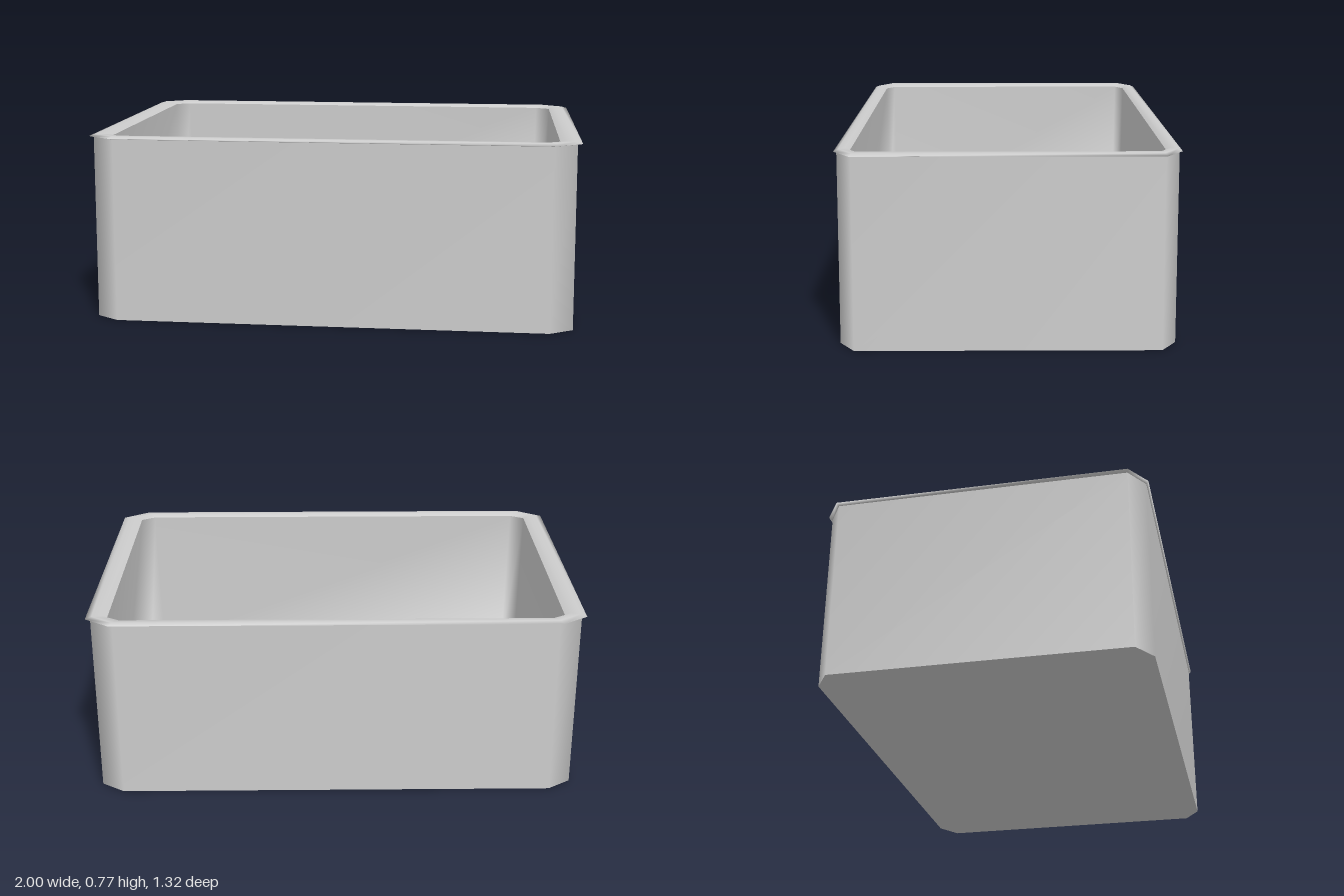
import * as THREE from 'three';

// Eight corners of a rectangle with cut corners: half sizes x, z and cuts cx, cz.
function octagon([x, y, z, cx, cz]) {
  return [
    [x, z - cz], [x - cx, z], [cx - x, z], [-x, z - cz],
    [-x, cz - z], [cx - x, -z], [x - cx, -z], [x, cz - z],
  ].map(([px, pz]) => new THREE.Vector3(px, y, pz));
}

function build(points, index) {
  const g = new THREE.BufferGeometry().setFromPoints(points);
  g.setIndex(index);
  g.computeVertexNormals();
  return g;
}

// Joins successive octagons with smooth-shaded bands.
function bands(rings) {
  const points = rings.flatMap(octagon), index = [];
  for (let i = 0; i < rings.length - 1; i++) {
    for (let j = 0; j < 8; j++) {
      const a = i * 8 + j, b = i * 8 + (j + 1) % 8;
      index.push(a, a + 8, b, b, a + 8, b + 8);
    }
  }
  return { points, index };
}

export function createModel() {
  const model = new THREE.Group();
  const grey = new THREE.MeshStandardMaterial({ color: 0xcccccc, side: THREE.DoubleSide });
  grey.name = 'light grey';
  const add = (name, geometry) => {
    const mesh = new THREE.Mesh(geometry, grey);
    mesh.name = name;
    model.add(mesh);
    return mesh;
  };
  const addBands = (name, rings) => {
    const { points, index } = bands(rings);
    return add(name, build(points, index));
  };

  // Underside, slightly tapered outer walls and overhanging rim
  const foot = [0.985, 0, 0.654, 0.095, 0.062];
  const wallTop = [0.98, 0.757, 0.65, 0.095, 0.062];
  const lip = [0.915, 0.758, 0.602, 0.06, 0.035];
  addBands('base', [[0, 0, 0, 0, 0], foot]);
  addBands('outerWalls', [foot, wallTop]);
  addBands('rim', [
    wallTop,
    [1, 0.761, 0.66, 0.1, 0.068],
    [0.975, 0.769, 0.643, 0.09, 0.06],
    [0.94, 0.769, 0.62, 0.075, 0.047],
    lip,
  ]);

  // Inner walls running smoothly into a floor that falls to the drain
  const { points, index } = bands([lip, [0.908, 0.09, 0.597, 0.06, 0.035]]);
  const drainX = 0.65, drainR = 0.052, drainY = 0.07, sides = 24;
  for (let i = 0; i < sides; i++) {
    const t = i / sides * Math.PI * 2;
    points.push(new THREE.Vector3(drainX + drainR * Math.cos(t), drainY, drainR * Math.sin(t)));
  }
  const flat = points.slice(8).map((p) => new THREE.Vector2(p.x, p.z));
  for (const [a, b, c] of THREE.ShapeUtils.triangulateShape(flat.slice(0, 8), [flat.slice(8)])) {
    const u = flat[b].clone().sub(flat[a]), v = flat[c].clone().sub(flat[a]);
    if (u.cross(v) < 0) index.push(a + 8, b + 8, c + 8);
    else index.push(a + 8, c + 8, b + 8);
  }
  add('basinInterior', build(points, index));

  // Drain disc
  const drain = add('drain', new THREE.CircleGeometry(drainR, sides).rotateX(-Math.PI / 2));
  drain.position.set(drainX, drainY, 0);

  return model;
}
